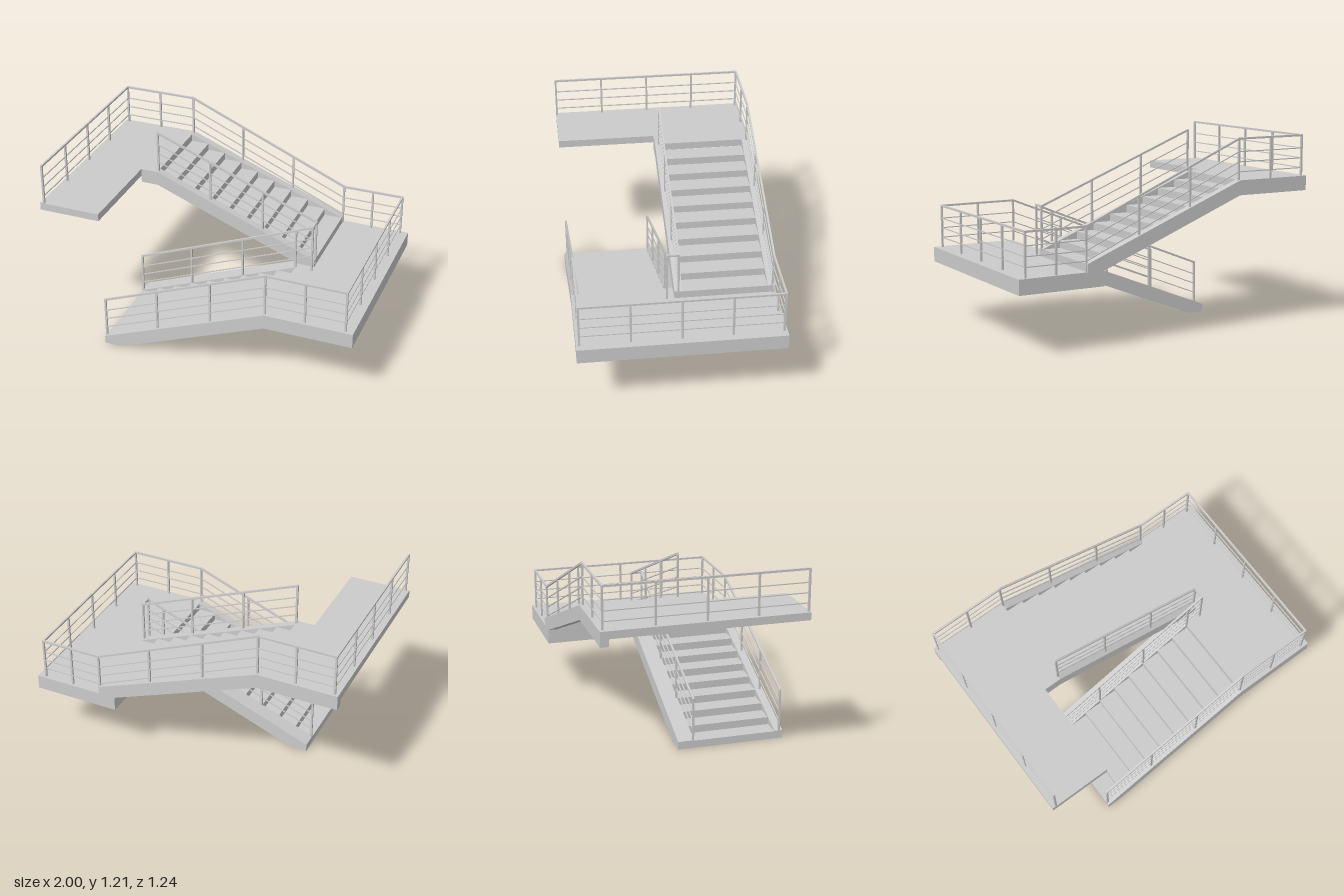
import * as THREE from 'three';

const material = new THREE.MeshStandardMaterial({ color: 0xcccccc, flatShading: true });

// Box given by its minimum and maximum on each axis
function block(name, x0, x1, y0, y1, z0, z1) {
  const mesh = new THREE.Mesh(new THREE.BoxGeometry(x1 - x0, y1 - y0, z1 - z0), material);
  mesh.name = name;
  mesh.position.set((x0 + x1) / 2, (y0 + y1) / 2, (z0 + z1) / 2);
  return mesh;
}

// Side profile in x and y, extruded from z0 to z1
function stringer(name, points, z0, z1) {
  const shape = new THREE.Shape(points.map(([x, y]) => new THREE.Vector2(x, y)));
  const geometry = new THREE.ExtrudeGeometry(shape, { depth: z1 - z0, bevelEnabled: false });
  geometry.translate(0, 0, z0);
  const mesh = new THREE.Mesh(geometry, material);
  mesh.name = name;
  return mesh;
}

// Square bar between two points
function bar(name, a, b, size) {
  const mesh = new THREE.Mesh(new THREE.BoxGeometry(size, size, a.distanceTo(b) + size * 0.8), material);
  mesh.name = name;
  mesh.position.copy(a).add(b).multiplyScalar(0.5);
  mesh.lookAt(b);
  return mesh;
}

const drops = [0.08, 0.142, 0.203];
const lower = (p, d) => new THREE.Vector3(p.x, p.y - d, p.z);

// Railing along a path of top points; spans[i] = post bays on segment i (0 = handrail only)
function railing(name, path, spans, postDrops = {}) {
  const group = new THREE.Group();
  group.name = name;
  const pts = path.map((p) => new THREE.Vector3(...p));
  const post = (p, drop = 0.265) =>
    group.add(block('post', p.x - 0.006, p.x + 0.006, p.y - drop, p.y, p.z - 0.006, p.z + 0.006));
  spans.forEach((n, i) => {
    const a = pts[i], b = pts[i + 1];
    group.add(bar('handrail', a, b, 0.012));
    if (n > 0) drops.forEach((d) => group.add(bar('railBar', lower(a, d), lower(b, d), 0.006)));
    for (let k = 1; k < n; k++) post(a.clone().lerp(b, k / n));
  });
  pts.forEach((p, i) => post(p, postDrops[i]));
  return group;
}

export function createModel() {
  const model = new THREE.Group();
  const run = 1.06 / 9, rise = 0.047;

  // Stringers of both flights
  const lowerSide = [[-0.61, 0], [-0.5, 0], [0.45, 0.377], [0.45, 0.47], [-0.61, 0.05]];
  const upperSide = [[0.56, 0.47], [0.56, 0.518], [-0.5, 0.937], [-0.61, 0.937], [-0.61, 0.845], [-0.5, 0.845], [0.45, 0.47]];
  model.add(stringer('lowerOuterStringer', lowerSide, 0.57, 0.62));
  model.add(stringer('lowerInnerStringer', lowerSide, -0.05, 0.05));
  model.add(stringer('upperOuterStringer', upperSide, -0.62, -0.57));
  model.add(stringer('upperInnerStringer', upperSide, -0.05, 0));

  // Steps, nine per flight
  const lowerSteps = new THREE.Group();
  const upperSteps = new THREE.Group();
  lowerSteps.name = 'lowerSteps';
  upperSteps.name = 'upperSteps';
  for (let i = 0; i < 9; i++) {
    const x = -0.61 + i * run, y = i * rise;
    lowerSteps.add(block('step', x, x + run, y, y + rise, 0.05, 0.57));
    const u = 0.56 - i * run, v = 0.47 + i * rise * 0.99;
    upperSteps.add(block('step', u - run, u, v, v + rise * 0.99, -0.57, -0.05));
  }
  model.add(lowerSteps, upperSteps);

  // Middle landing: slab with an edge frame below
  const landing = new THREE.Group();
  landing.name = 'middleLanding';
  landing.add(block('slab', 0.45, 1, 0.424, 0.47, -0.62, 0.62));
  landing.add(block('endBeam', 0.95, 1, 0.377, 0.424, -0.62, 0.62));
  landing.add(block('stairBeam', 0.45, 0.5, 0.377, 0.424, -0.62, 0.62));
  for (const s of [-0.595, 0.595])
    landing.add(block('sideBeam', 0.5, 0.95, 0.377, 0.424, s - 0.025, s + 0.025));
  model.add(landing);

  // Top landing: thin slab reaching the upper flight, with a beam along the back
  const top = new THREE.Group();
  top.name = 'topLanding';
  top.add(block('slab', -1, -0.61, 0.89, 0.937, -0.62, 0.62));
  top.add(block('slabReturn', -0.61, -0.5, 0.89, 0.937, -0.57, -0.05));
  top.add(block('backBeam', -1, -0.61, 0.845, 0.89, -0.62, -0.57));
  model.add(top);

  // Outer railing runs continuously around both flights and landings
  model.add(railing('outerRailing', [
    [-0.604, 0.315, 0.6], [0.45, 0.735, 0.6], [0.95, 0.735, 0.6], [0.95, 0.735, -0.6],
    [0.56, 0.735, -0.6], [-0.5, 1.19, -0.6], [-0.975, 1.19, -0.6], [-0.975, 1.19, 0.614],
  ], [3, 2, 4, 2, 3, 2, 4]));

  // Inner railing turns between the flights
  model.add(railing('innerRailing', [
    [-0.604, 0.315, 0.045], [0.45, 0.735, 0.045], [0.557, 0.78, 0.045],
    [0.557, 0.78, -0.025], [-0.5, 1.2, -0.025],
  ], [3, 1, 0, 3], { 2: 0.31, 3: 0.31 }));

  return model;
}
